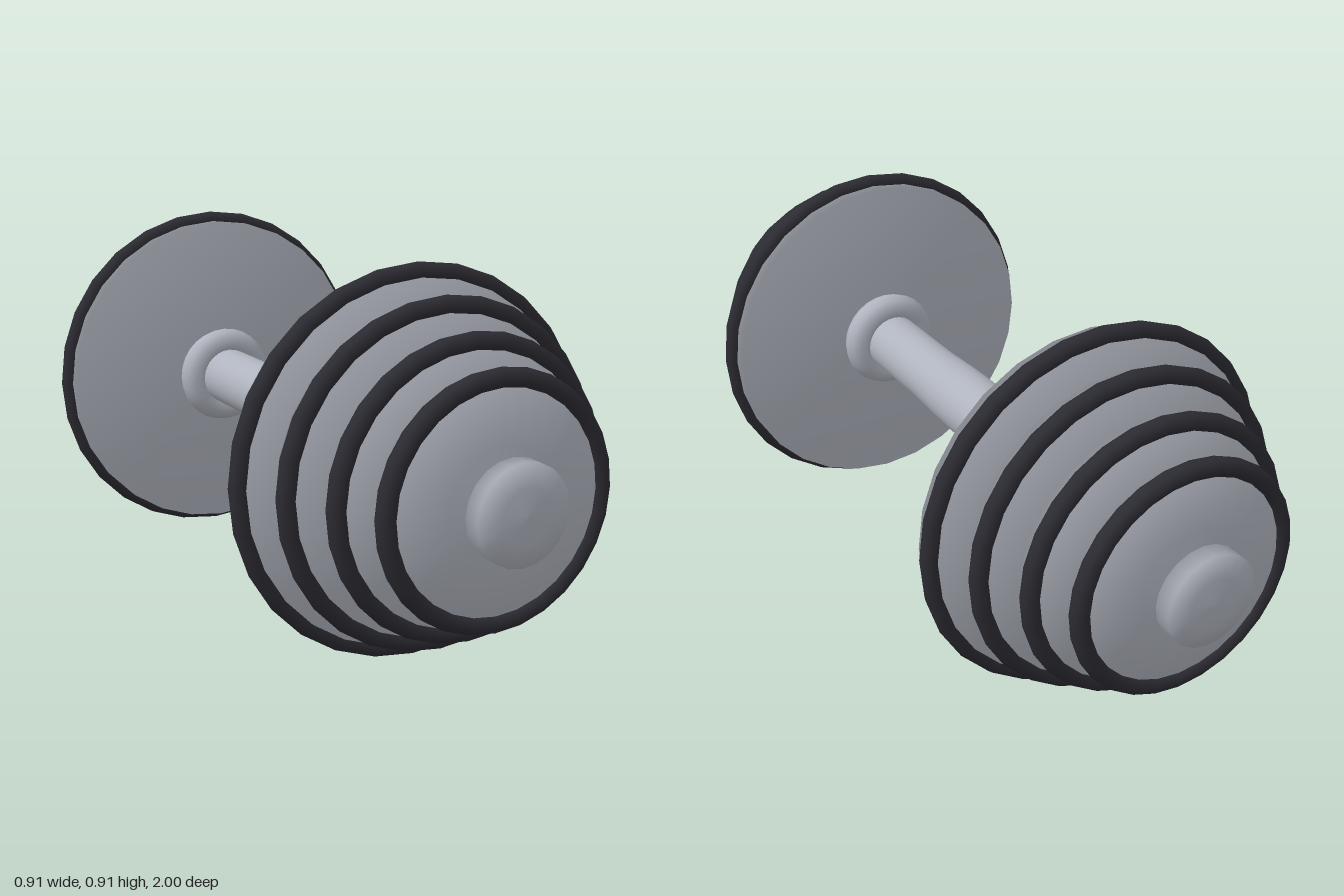
import * as THREE from 'three';

const steel = new THREE.MeshStandardMaterial({ color: 0xb0b4be });
steel.name = 'steel grey';
const rubber = new THREE.MeshStandardMaterial({ color: 0x2b2b32 });
rubber.name = 'black rubber';

// Turned part along z; profile is [radius, z] pairs in rising z
function turned(name, profile, sides) {
  const points = profile.map(([r, z]) => new THREE.Vector2(r, z));
  const geometry = new THREE.LatheGeometry(points, sides).rotateX(Math.PI / 2);
  const mesh = new THREE.Mesh(geometry, steel);
  mesh.name = name;
  return mesh;
}

function ring(name, radius, tube, z, sides, material) {
  const mesh = new THREE.Mesh(new THREE.TorusGeometry(radius, tube, 10, sides), material);
  mesh.name = name;
  mesh.position.z = z;
  return mesh;
}

// Weight plates: disc radius, back z, rim z, apex z, ring radius, ring z
const plates = [
  [0.432, 0.512, 0.583, 0.618, 0.435, 0.566],
  [0.38, 0.635, 0.694, 0.728, 0.379, 0.681],
  [0.318, 0.745, 0.803, 0.834, 0.32, 0.79],
  [0.263, 0.854, 0.898, 0.926, 0.264, 0.89],
];

function weightEnd(name) {
  const end = new THREE.Group();
  end.name = name;

  // Rounded collar against the inner plate
  end.add(ring('collar', 0.093, 0.039, 0.476, 28, steel));

  // Separate domed plates, each with a rubber rim
  plates.forEach(([r, back, rim, apex, ringRadius, ringZ], i) => {
    const middle = rim + (apex - rim) * 0.62;
    end.add(turned(`plate${i + 1}`, [[0, back], [r, back], [r, rim], [r * 0.5, middle], [0, apex]], 28));
    end.add(ring(`rubberRim${i + 1}`, ringRadius, 0.022, ringZ, 28, rubber));
  });

  // End cap
  end.add(turned('endCap', [[0, 0.944], [0.112, 0.944], [0.112, 0.986], [0.06, 0.996], [0, 1]], 20));
  return end;
}

export function createModel() {
  const model = new THREE.Group();
  model.name = 'dumbbell';

  // Handle with a slight swell in the middle
  const handle = turned('handle', [
    [0.077, -0.5], [0.077, -0.2], [0.082, -0.08], [0.083, 0],
    [0.082, 0.08], [0.077, 0.2], [0.077, 0.5],
  ], 28);

  const front = weightEnd('frontWeights');
  const back = weightEnd('backWeights');
  back.rotation.y = Math.PI;

  model.add(handle, front, back);
  model.children.forEach((part) => { part.position.y = 0.457; });
  return model;
}
